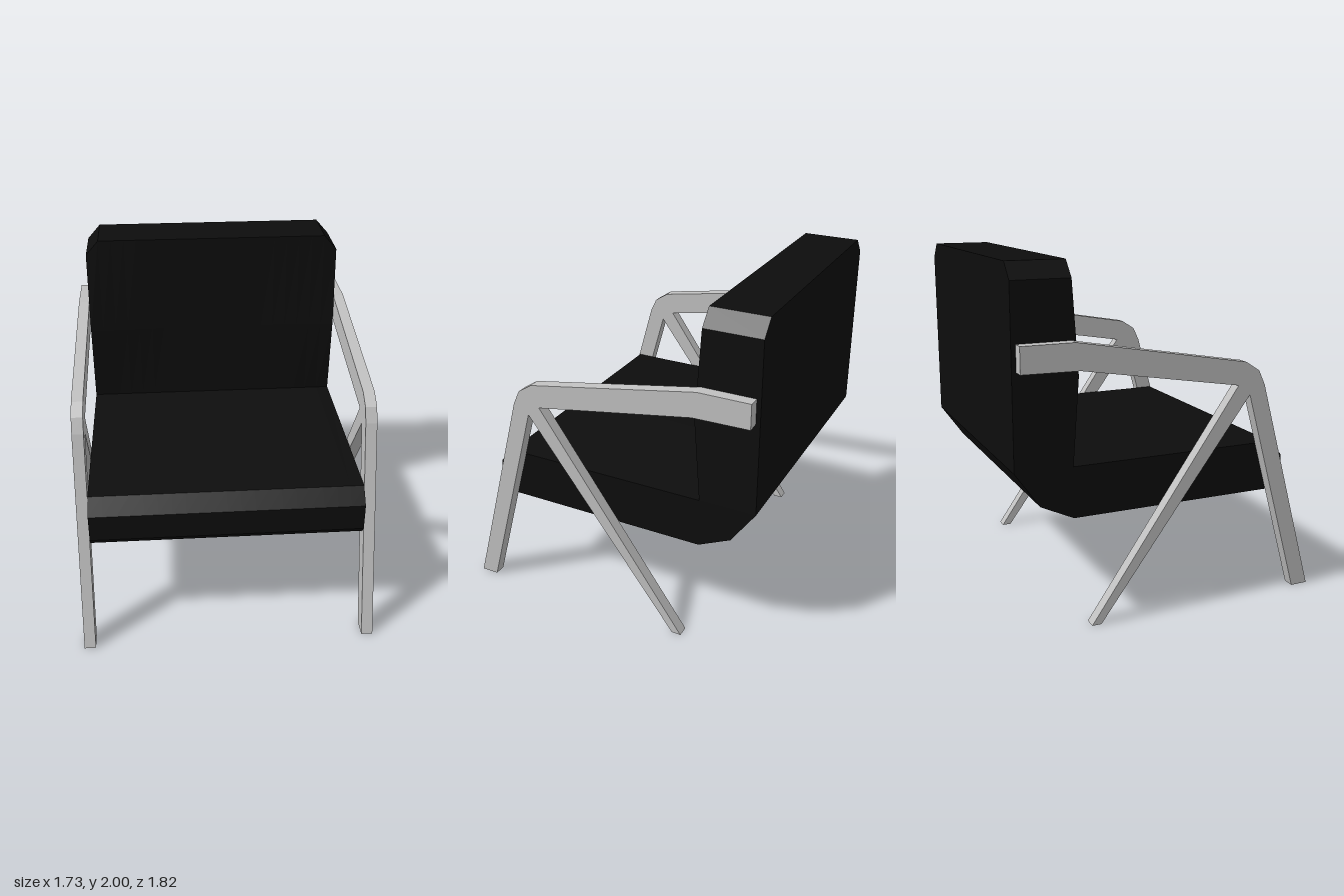
import * as THREE from 'three';

const upholstery = new THREE.MeshStandardMaterial({ color: 0x0d0d0d });
upholstery.name = 'black upholstery';
const metal = new THREE.MeshStandardMaterial({ color: 0xc0c0c0 });
metal.name = 'light grey frame';

// Extrudes a side profile of [z, y] points across x, starting at x = left
function extrudeSide(points, left, width, steps = 1) {
  const shape = new THREE.Shape(points.map(([z, y]) => new THREE.Vector2(z, y)));
  const geo = new THREE.ExtrudeGeometry(shape, { depth: width, steps, bevelEnabled: false });
  geo.rotateY(-Math.PI / 2);
  geo.translate(left + width, 0, 0);
  return geo;
}

// One-piece seat and backrest
function makeCushion() {
  const geo = extrudeSide([
    [0.73, 0.66], [0.7, 0.62], [-0.58, 0.62], [-0.77, 0.71], [-0.91, 0.91], [-0.91, 2],
    [-0.58, 2], [-0.545, 1.4], [-0.58, 0.91], [0.65, 0.91], [0.73, 0.82],
  ], -0.8, 1.6, 20);
  const p = geo.attributes.position;
  for (let i = 0; i < p.count; i++) {
    const x = Math.abs(p.getX(i)), y = p.getY(i);
    // Clipped top corners
    if (x > 0.79 && y > 1.95) p.setY(i, 1.91);
    // Lumbar line sinks towards the middle
    if (Math.abs(y - 1.4) < 0.01) p.setZ(i, p.getZ(i) - 0.035 * (1 - x / 0.8));
  }
  geo.computeVertexNormals();
  const mesh = new THREE.Mesh(geo, upholstery);
  mesh.name = 'seatAndBackrest';
  return mesh;
}

// Front leg, armrest and slanted rear leg in one outline
const frameOutline = [
  [0.91, 0], [0.555, 1.27], [0.515, 1.355], [0.43, 1.41], [-0.585, 1.59], [-0.885, 1.59],
  [-0.885, 1.445], [-0.56, 1.44], [0.385, 1.28], [-0.505, 0], [-0.45, 0], [0.46, 1.22], [0.805, 0],
];

export function createModel() {
  const chair = new THREE.Group();
  chair.name = 'armchair';
  chair.add(makeCushion());
  for (const [name, x] of [['leftSideFrame', 0.8], ['rightSideFrame', -0.867]]) {
    const frame = new THREE.Mesh(extrudeSide(frameOutline, x, 0.067), metal);
    frame.name = name;
    chair.add(frame);
  }
  return chair;
}
